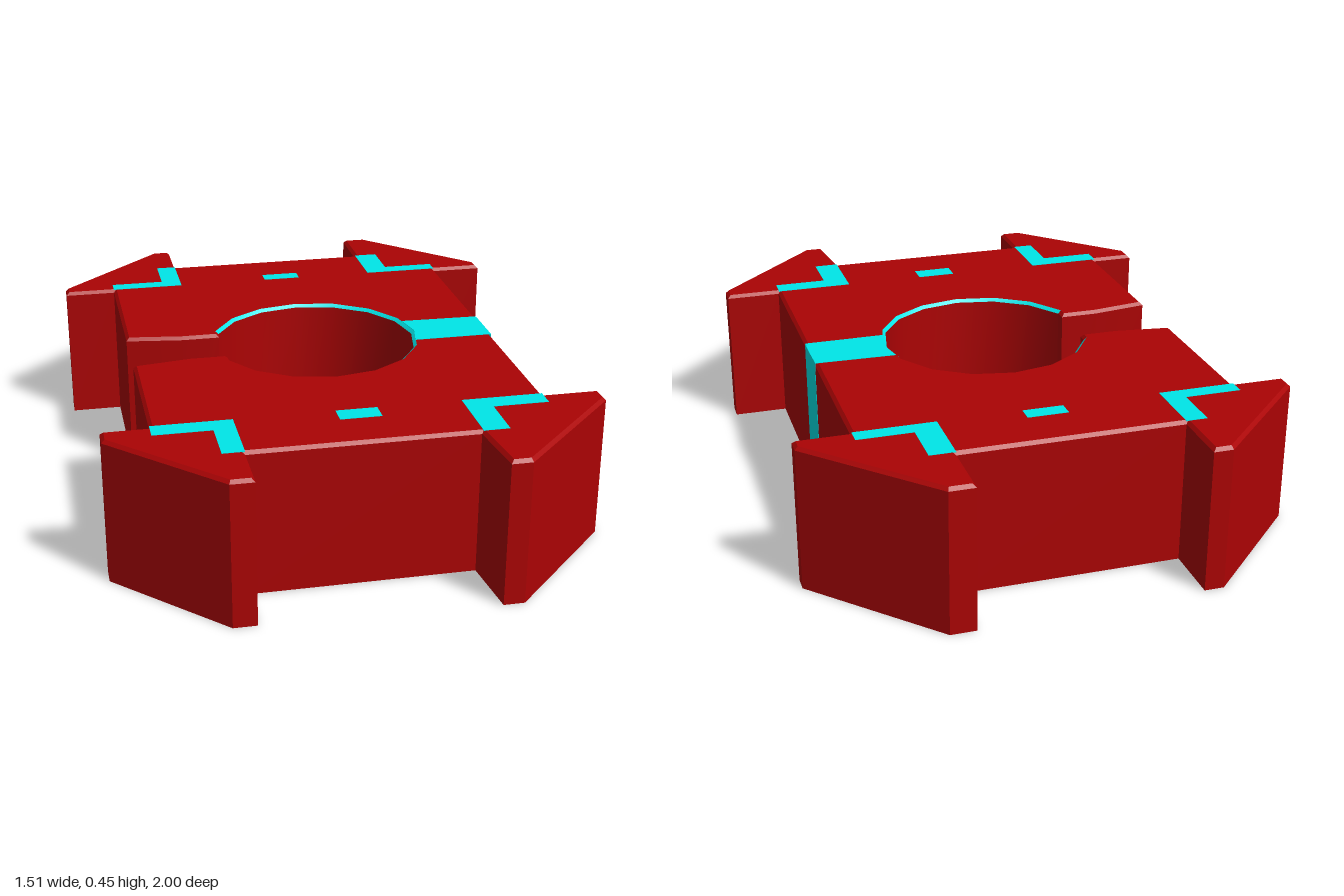
import * as THREE from 'three';
import { toCreasedNormals } from 'three/addons/utils/BufferGeometryUtils.js';

const H = 0.45, BEVEL = 0.01;
const red = new THREE.MeshStandardMaterial({ color: 0xab0304, side: THREE.DoubleSide });
const cyan = new THREE.MeshStandardMaterial({ color: 0x00e6e8, side: THREE.DoubleSide });

// Rounded bore, an arc that leaves the slot open on the -x side
const arc = [];
for (let i = -7; i <= 7; i++) {
  const a = i * Math.PI / 8;
  arc.push([0.01 + 0.323 * Math.cos(a), 0.32 * Math.sin(a)]);
}

// Plan outline as [x, z], counterclockwise from above
const before = [
  [-0.35, -0.803], [-0.35, -0.99], [-0.41, -0.99], [-0.755, -0.65], [-0.755, -0.598], [-0.59, -0.598],
  [-0.59, -0.117], [-0.41, -0.092], [-0.29, -0.092],
];
const after = [
  [-0.29, 0.087], [-0.41, 0.087], [-0.59, 0.115], [-0.59, 0.585], [-0.73, 0.585], [-0.73, 0.645],
  [-0.42, 0.967], [-0.35, 0.967], [-0.35, 0.798], [0.325, 0.798], [0.345, 1], [0.408, 1],
  [0.755, 0.645], [0.755, 0.585], [0.58, 0.585], [0.58, -0.598], [0.747, -0.598], [0.747, -0.645],
  [0.408, -1], [0.33, -1], [0.33, -0.803],
];
const outline = [...before, ...arc, ...after];
const n = outline.length;
const onBore = i => i >= before.length && i < before.length + arc.length - 1;

// Moves every corner inwards by d along its mitre
function inset(points, d) {
  const normal = (a, b) => {
    const dx = b[0] - a[0], dz = b[1] - a[1], l = Math.hypot(dx, dz);
    return [dz / l, -dx / l];
  };
  return points.map((p, i) => {
    const u = normal(points[(i + n - 1) % n], p), v = normal(p, points[(i + 1) % n]);
    const k = d / (1 + u[0] * v[0] + u[1] * v[1]);
    return [p[0] + (u[0] + v[0]) * k, p[1] + (u[1] + v[1]) * k];
  });
}

// Strip of quads between two outlines at two heights
function strip(low, y0, high, y1, keep) {
  const pos = [];
  for (let i = 0; i < n; i++) {
    if (!keep(i)) continue;
    const j = (i + 1) % n;
    const a = [low[i][0], y0, low[i][1]], b = [low[j][0], y0, low[j][1]];
    const c = [high[j][0], y1, high[j][1]], d = [high[i][0], y1, high[i][1]];
    pos.push(...a, ...b, ...c, ...a, ...c, ...d);
  }
  const g = new THREE.BufferGeometry();
  g.setAttribute('position', new THREE.Float32BufferAttribute(pos, 3));
  return toCreasedNormals(g, 0.5);
}

const planShape = pts => new THREE.Shape(pts.map(([x, z]) => new THREE.Vector2(x, -z)));

export function createModel() {
  const group = new THREE.Group();
  const add = (name, geometry, material) => {
    const mesh = new THREE.Mesh(geometry, material);
    mesh.name = name;
    group.add(mesh);
    return mesh;
  };

  // Hollow shell, open underneath: walls, bevelled rim and top
  const inner = inset(outline, BEVEL);
  add('walls', strip(outline, 0, outline, H - BEVEL, () => true), red);
  add('rim', strip(outline, H - BEVEL, inner, H, i => !onBore(i)), red);
  add('boreRim', strip(outline, H - BEVEL, inner, H, onBore), cyan);
  add('topPlate', new THREE.ShapeGeometry(planShape(inner)).rotateX(-Math.PI / 2), red).position.y = H;

  // Thin coloured inlays, visible on both sides of the top
  const inlay = (name, pts) => {
    const g = new THREE.ExtrudeGeometry(planShape(pts), { depth: 0.002, bevelEnabled: false });
    add(name, g.rotateX(-Math.PI / 2), cyan).position.y = H - 0.001;
  };
  const corners = [
    [-0.59, -0.415, -0.35], // outer, middle and inner x on each side
    [0.578, 0.408, 0.33],
  ];
  const ends = [[-0.6, -0.65, -0.802], [0.58, 0.643, 0.798]];
  for (const [xo, xm, xi] of corners) {
    for (const [z0, z1, z2] of ends) {
      inlay('cornerInlay', [[xo, z0], [xi, z0], [xi, z2], [xm, z2], [xm, z1], [xo, z1]]);
    }
  }
  for (const [z0, z1] of ends) {
    inlay('endInlay', [[-0.05, z0], [0.075, z0], [0.075, z1], [-0.05, z1]]);
  }

  // Stripe across the top and down the +x wall
  inlay('topStripe', [[0.325, -0.092], [0.343, 0], [0.325, 0.082], [0.58, 0.082], [0.58, -0.085]]);
  add('sideStripe', new THREE.BoxGeometry(0.002, H, 0.165), cyan).position.set(0.58, H / 2, 0);

  return group;
}
